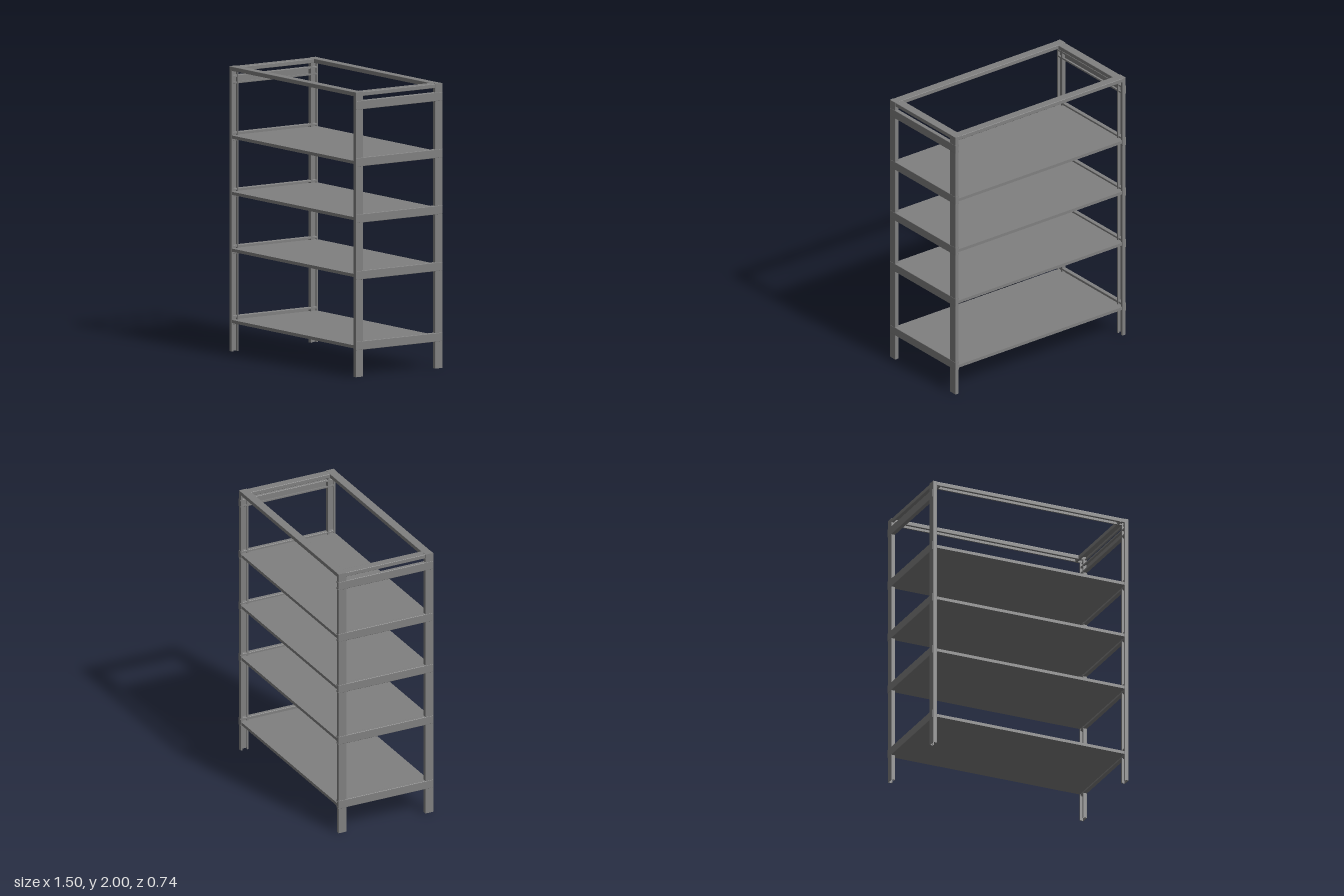
import * as THREE from 'three';

const WIDTH = 0.062, DEPTH = 0.03, WALL = 0.004, LIP = 0.01, RADIUS = 0.004;

// Lipped C-channel: web along local y = 0, open towards -y
function channelShape() {
  const w = WIDTH / 2, i = w - WALL, r = RADIUS;
  const s = new THREE.Shape();
  s.moveTo(-w + r, 0);
  s.lineTo(w - r, 0);
  s.quadraticCurveTo(w, 0, w, -r);
  s.lineTo(w, -DEPTH + r);
  s.quadraticCurveTo(w, -DEPTH, w - r, -DEPTH);
  s.lineTo(w - LIP - WALL, -DEPTH);
  s.lineTo(w - LIP - WALL, -DEPTH + LIP);
  s.lineTo(w - LIP, -DEPTH + LIP);
  s.lineTo(w - LIP, -DEPTH + WALL);
  s.lineTo(i, -DEPTH + WALL);
  s.lineTo(i, -WALL);
  s.lineTo(-i, -WALL);
  s.lineTo(-i, -DEPTH + WALL);
  s.lineTo(-w + LIP, -DEPTH + WALL);
  s.lineTo(-w + LIP, -DEPTH + LIP);
  s.lineTo(-w + LIP + WALL, -DEPTH + LIP);
  s.lineTo(-w + LIP + WALL, -DEPTH);
  s.lineTo(-w + r, -DEPTH);
  s.quadraticCurveTo(-w, -DEPTH, -w, -DEPTH + r);
  s.lineTo(-w, -r);
  s.quadraticCurveTo(-w, 0, -w + r, 0);
  return s;
}

export function createModel() {
  const model = new THREE.Group();
  model.name = 'shelvingRack';
  const steel = new THREE.MeshStandardMaterial({ color: 0x808080 });
  steel.name = 'greySteel';
  const shape = channelShape();

  // Channel centred at pos, its web facing "out" and its length running "along"
  function channel(name, length, out, along, pos) {
    const geo = new THREE.ExtrudeGeometry(shape, { depth: length, bevelEnabled: false, curveSegments: 3 });
    geo.translate(0, 0, -length / 2);
    const y = new THREE.Vector3(...out), z = new THREE.Vector3(...along);
    const x = new THREE.Vector3().crossVectors(y, z);
    geo.applyMatrix4(new THREE.Matrix4().makeBasis(x, y, z));
    const mesh = new THREE.Mesh(geo, steel);
    mesh.name = name;
    mesh.position.set(...pos);
    model.add(mesh);
  }

  const UP = [0, 1, 0], X = [1, 0, 0], Z = [0, 0, 1];
  const railHeights = [0.219, 0.714, 1.112, 1.508, 1.908];

  for (const s of [-1, 1]) {
    // Corner posts, open towards the inside
    for (const t of [-1, 1]) channel('post', 2, [s, 0, 0], UP, [s * 0.75, 1, t * 0.34]);
    // Side rails carrying the shelves
    for (const y of railHeights) channel('sideRail', 0.738, [s, 0, 0], Z, [s * 0.751, y, -0.003]);
    // Top frame, open downwards
    channel('topSideRail', 0.738, UP, Z, [s * 0.716, 1.999, 0]);
    channel('topLongRail', 1.496, UP, X, [0, 2, s * 0.339]);
  }

  // Flat shelf boards
  for (const y of [0.21, 0.711, 1.11, 1.505]) {
    const shelf = new THREE.Mesh(new THREE.BoxGeometry(1.47, 0.022, 0.736), steel);
    shelf.name = 'shelf';
    shelf.position.set(0, y, 0);
    model.add(shelf);
  }
  return model;
}
